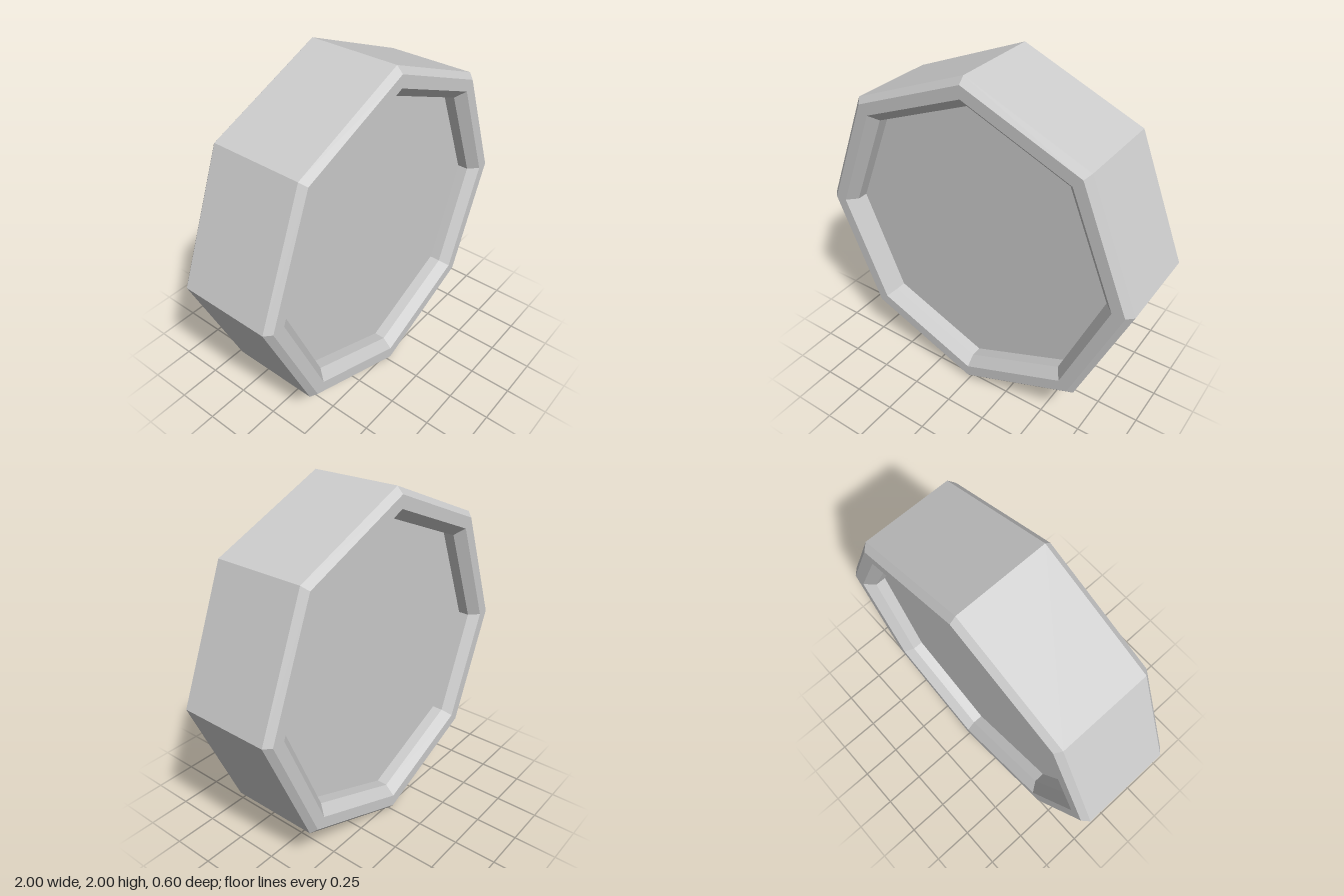
import * as THREE from 'three';

export function createModel() {
  const group = new THREE.Group();
  group.name = 'octagonalDrum';
  const material = new THREE.MeshStandardMaterial({ color: 0xcccccc, flatShading: true });

  // Half profile (radius, depth): outer wall, bevel, flat rim, inner slope, recess wall, panel
  const half = [[1, 0.265], [0.963, 0.3], [0.89, 0.3], [0.835, 0.245], [0.835, 0.18], [0, 0.18]];

  // Mirror the profile so the front and back are alike
  const profile = [
    ...half.map(([r, d]) => new THREE.Vector2(r, -d)).reverse(),
    ...half.map(([r, d]) => new THREE.Vector2(r, d)),
  ];

  // Eight-sided body with a corner at the top, turned to face +z
  const geometry = new THREE.LatheGeometry(profile, 8);
  geometry.rotateX(Math.PI / 2);
  const body = new THREE.Mesh(geometry, material);
  body.name = 'recessedBody';
  body.position.y = 1;
  group.add(body);

  return group;
}
